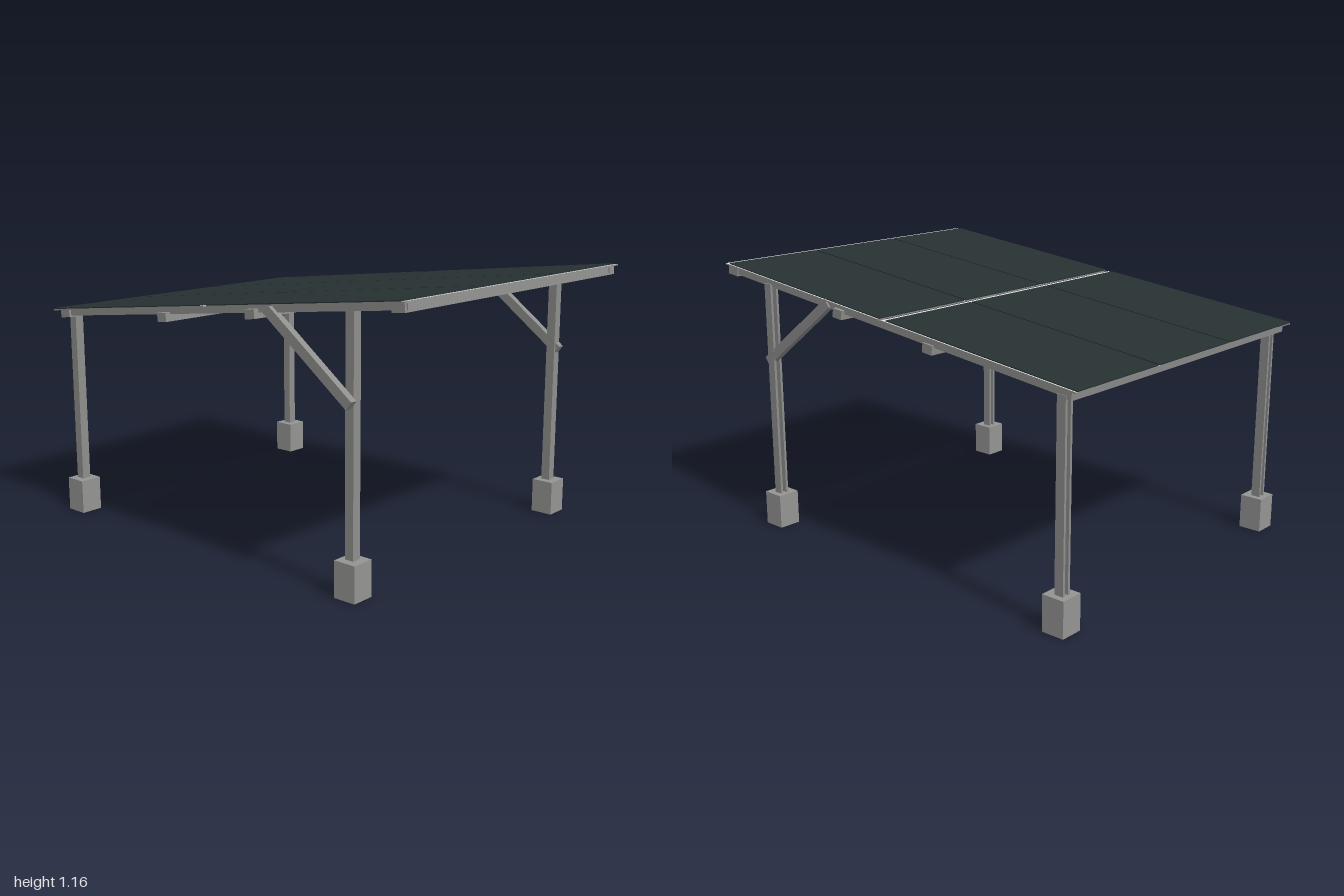
import * as THREE from 'three';

const mat = (name, color) => {
  const m = new THREE.MeshStandardMaterial({ color });
  m.name = name;
  return m;
};

export function createModel() {
  const steel = mat('steel', 0x8e8e8d);
  const concrete = mat('concrete', 0x949493);
  const glass = mat('panelGlass', 0x263131);
  const silver = mat('panelFrame', 0xdadad8);

  const model = new THREE.Group();
  model.name = 'solarCarport';
  model.rotation.y = -0.0145; // the structure stands slightly askew

  const add = (parent, name, geometry, material, x, y, z) => {
    const mesh = new THREE.Mesh(geometry, material);
    mesh.name = name;
    mesh.position.set(x, y, z);
    parent.add(mesh);
    return mesh;
  };
  // Box given by its minimum and maximum corners
  const span = (parent, name, material, [x0, x1], [y0, y1], [z0, z1]) =>
    add(parent, name, new THREE.BoxGeometry(x1 - x0, y1 - y0, z1 - z0), material,
      (x0 + x1) / 2, (y0 + y1) / 2, (z0 + z1) / 2);

  // Open channel section for the posts, its slot facing the back
  const w = 0.02, t = 0.011;
  const channel = new THREE.Shape([
    [-w, -w], [w, -w], [w, w], [w - t, w], [w - t, -w + t],
    [-w + t, -w + t], [-w + t, w], [-w, w],
  ].map(([x, y]) => new THREE.Vector2(x, y)));

  // Posts standing on concrete footings
  const footing = 0.15;
  for (const [side, x] of [['right', -0.683], ['left', 0.704]]) {
    for (const [end, z, top] of [['Front', 0.705, 1.1], ['Back', -0.917, 0.91]]) {
      add(model, side + end + 'Footing', new THREE.BoxGeometry(0.1, footing, 0.1), concrete, x, footing / 2, z);
      const geo = new THREE.ExtrudeGeometry(channel, { depth: top - footing, bevelEnabled: false });
      geo.rotateX(-Math.PI / 2);
      add(model, side + end + 'Post', geo, steel, x + 0.004, footing, z - 0.006);
    }
  }

  // Diagonal braces from the front posts up to the rafters
  for (const [name, x] of [['rightBrace', -0.723], ['leftBrace', 0.712]]) {
    const brace = add(model, name, new THREE.BoxGeometry(0.03, 0.042, 0.52), steel, x, 0.91, 0.52);
    brace.rotation.x = 0.647;
  }

  // Sloping roof, high at the front; y = 0 is the glass surface
  const roof = new THREE.Group();
  roof.name = 'roof';
  roof.position.y = 1.047;
  roof.rotation.set(-0.115, 0, -0.003);
  model.add(roof);

  // Rafters along the slope
  for (const [name, x] of [['rightRafter', -0.70], ['leftRafter', 0.70]])
    span(roof, name, steel, [x - 0.02, x + 0.02], [-0.036, -0.008], [-0.975, 0.98]);

  // Cross purlins: two at the ends, two hung lower in the middle
  span(roof, 'frontPurlin', steel, [-0.73, 0.725], [-0.044, -0.008], [0.915, 0.975]);
  span(roof, 'backPurlin', steel, [-0.73, 0.725], [-0.042, -0.008], [-0.975, -0.915]);
  for (const [z, y, end] of [[0.235, -0.058, 0.738], [-0.275, -0.066, 0.73]])
    span(roof, 'middlePurlin', steel, [-0.745, end], [y, y + 0.038], [z - 0.026, z + 0.026]);

  // Two rows of three panels: pale frame tray, steel-grey rim, dark glass
  const trayFaces = [steel, steel, silver, silver, steel, steel];
  for (const [row, z0, z1] of [['back', -0.995, -0.032], ['front', 0.006, 0.976]]) {
    span(roof, row + 'PanelTray', trayFaces, [-0.752, 0.728], [-0.008, -0.002], [z0, z1 + 0.02]);
    for (let i = 0; i < 3; i++) {
      const x = -0.752 + i * 0.494;
      span(roof, row + 'PanelGlass', glass, [x, x + 0.485], [-0.002, 0.002], [z0, z1]);
    }
  }
  return model;
}
